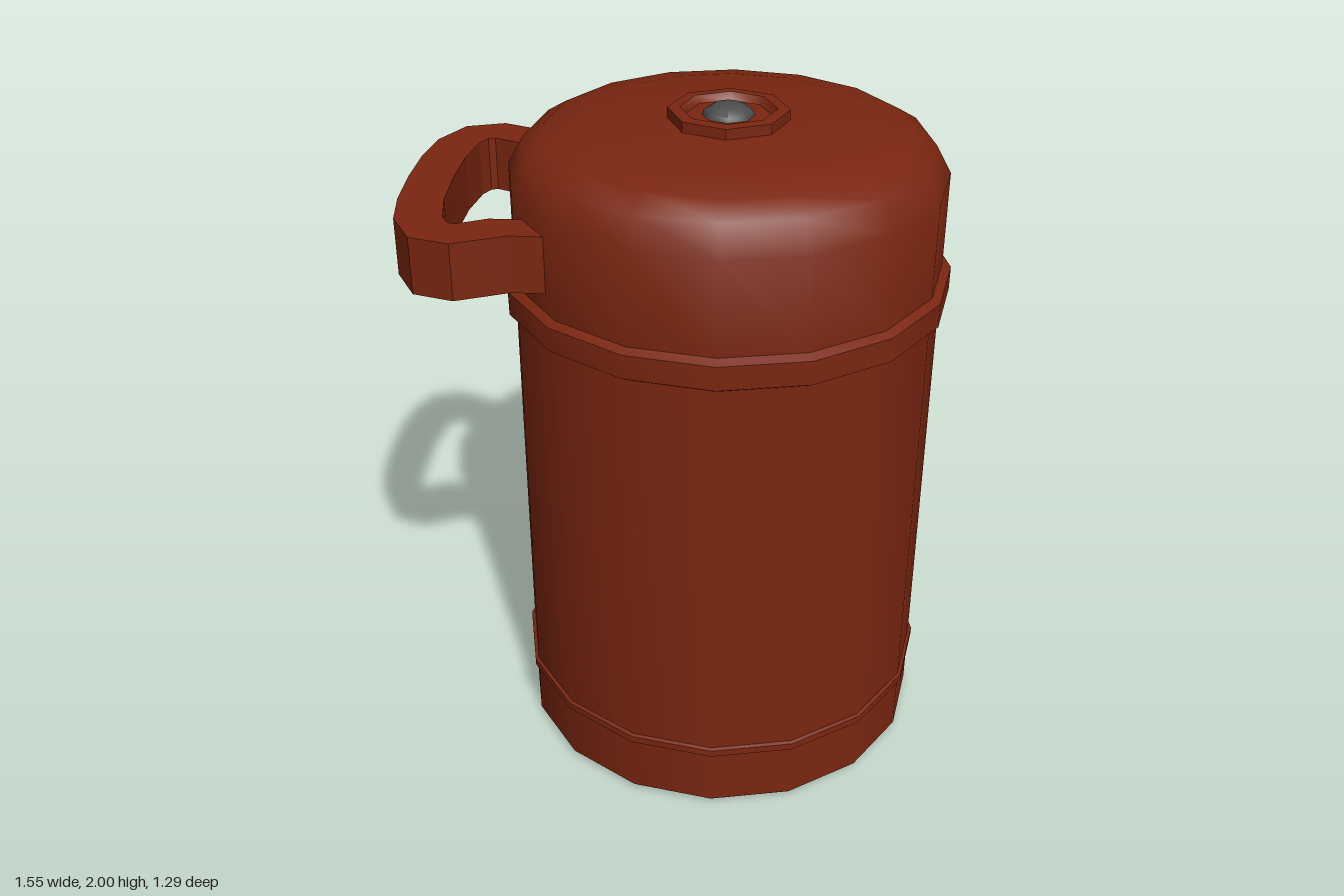
import * as THREE from 'three';
import { toCreasedNormals } from 'three/addons/utils/BufferGeometryUtils.js';

const AXIS_X = 0.13; // the round body sits off-centre to leave room for the handle

export function createModel() {
  const group = new THREE.Group();
  const red = new THREE.MeshStandardMaterial({ color: 0x7a2610 });
  red.name = 'brick red';
  const steel = new THREE.MeshStandardMaterial({ color: 0x4c4c4c });
  steel.name = 'dark steel';

  const add = (name, geometry, material) => {
    const mesh = new THREE.Mesh(geometry, material);
    mesh.name = name;
    group.add(mesh);
  };
  // Turned part: [radius, height] pairs running upwards along the outside
  const turned = (name, profile, sides, material = red) => {
    const points = profile.map(([r, y]) => new THREE.Vector2(r, y));
    const geometry = toCreasedNormals(new THREE.LatheGeometry(points, sides), 0.75);
    geometry.translate(AXIS_X, 0, 0);
    add(name, geometry, material);
  };

  // Body with a stepped, recessed underside
  turned('body', [
    [0, 0.05], [0.5, 0.05], [0.52, 0.02], [0.56, 0.02], [0.575, 0],
    [0.605, 0], [0.62, 0.015], [0.62, 1.45],
  ], 16);
  turned('baseBand', [[0.615, 0.188], [0.63, 0.194], [0.63, 0.216], [0.615, 0.222]], 16);
  turned('collar', [[0.615, 1.437], [0.645, 1.455], [0.645, 1.525], [0.615, 1.54]], 16);

  // Domed lid
  turned('lid', [
    [0.62, 1.53], [0.62, 1.81], [0.575, 1.89], [0.515, 1.926], [0.4, 1.951], [0, 1.955],
  ], 16);

  // Octagonal button surround with a sunken centre
  turned('buttonRing', [
    [0.17, 1.95], [0.17, 1.983], [0.145, 1.985], [0.135, 1.985], [0.12, 1.965], [0, 1.965],
  ], 8);
  turned('button', [[0.075, 1.96], [0.068, 1.978], [0.04, 1.994], [0, 2]], 8, steel);

  // Side handle: half outline, mirrored front to back
  const outer = [[-0.25, 0.395], [-0.43, 0.395], [-0.575, 0.455], [-0.69, 0.42],
    [-0.755, 0.3], [-0.775, 0.16]];
  const inner = [[-0.645, 0.16], [-0.625, 0.28], [-0.605, 0.318], [-0.585, 0.325],
    [-0.5, 0.285], [-0.25, 0.285]];
  const mirrored = (points) => points.map(([x, z]) => [x, -z]).reverse();
  const outline = [...outer, [-0.78, 0], ...mirrored(outer),
    ...mirrored(inner), [-0.65, 0], ...inner];
  const shape = new THREE.Shape(outline.map(([x, z]) => new THREE.Vector2(x, z)));
  const handle = new THREE.ExtrudeGeometry(shape, { depth: 0.165, bevelEnabled: false });
  handle.rotateX(Math.PI / 2).translate(0, 1.76, 0);
  add('handle', handle, red);

  return group;
}
